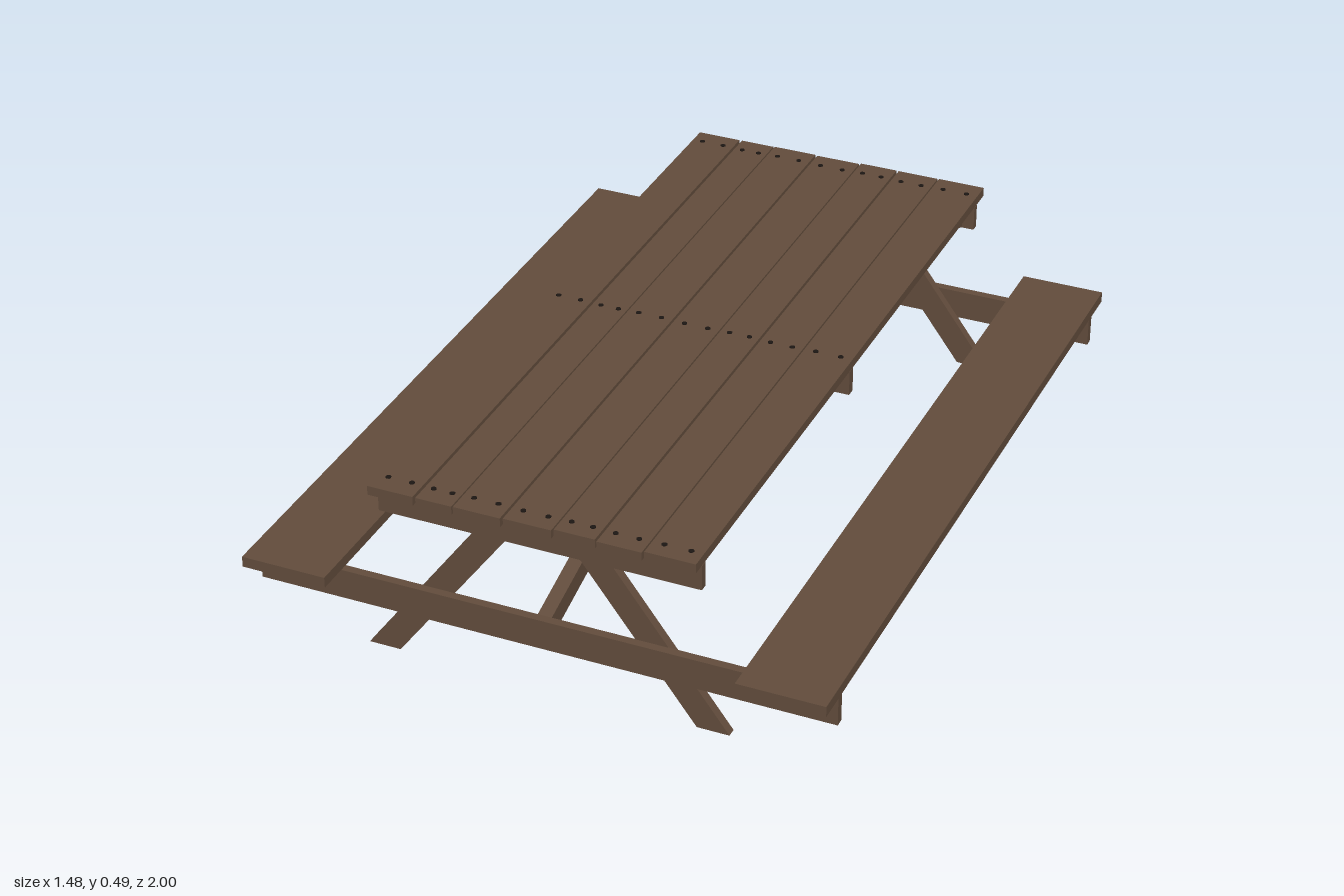
import * as THREE from 'three';

export function createModel() {
  const table = new THREE.Group();
  table.name = 'picnicTable';
  const wood = new THREE.MeshStandardMaterial({ color: 0x624c3c });
  wood.name = 'brown wood';
  const iron = new THREE.MeshStandardMaterial({ color: 0x1c1613 });
  iron.name = 'dark nail';

  function add(name, geometry, material = wood) {
    const mesh = new THREE.Mesh(geometry, material);
    mesh.name = name;
    table.add(mesh);
    return mesh;
  }
  // Box given by its low and high limits on each axis
  function beam(name, [x0, x1], [y0, y1], [z0, z1]) {
    const mesh = add(name, new THREE.BoxGeometry(x1 - x0, y1 - y0, z1 - z0));
    mesh.position.set((x0 + x1) / 2, (y0 + y1) / 2, (z0 + z1) / 2);
    return mesh;
  }
  // Flat outline extruded evenly about its own plane
  function slab(points, depth) {
    const shape = new THREE.Shape(points.map(([x, y]) => new THREE.Vector2(x, y)));
    return new THREE.ExtrudeGeometry(shape, { depth, bevelEnabled: false }).translate(0, 0, -depth / 2);
  }

  // Tabletop boards of uneven width: left edge, right edge, front end, back end
  const boards = [
    [-0.415, -0.298, 0.957, -0.968], [-0.292, -0.2, 0.955, -0.972],
    [-0.195, -0.076, 0.957, -0.97], [-0.071, 0.05, 0.952, -0.971],
    [0.055, 0.157, 0.949, -0.972], [0.162, 0.273, 0.952, -0.975],
    [0.278, 0.404, 0.949, -0.972],
  ];
  const nailGeometry = new THREE.CylinderGeometry(0.007, 0.007, 0.006, 8);
  boards.forEach(([x0, x1, front, back], i) => {
    const top = i % 2 ? 0.489 : 0.491;
    beam('tableBoard', [x0, x1], [0.467, top], [back, front]);
    // Two nails over each cleat
    for (const z of [-0.92, -0.008, 0.905]) {
      for (const t of [0.24, 0.76]) {
        add('nail', nailGeometry, iron).position.set(x0 + (x1 - x0) * t, top - 0.001, z);
      }
    }
  });

  // Centre cleat under the boards
  beam('centreCleat', [-0.41, 0.405], [0.402, 0.467], [-0.012, 0.012]);

  for (const end of [1, -1]) {
    const span = (a, b) => [Math.min(a * end, b * end), Math.max(a * end, b * end)];
    // Cleats on both sides of the leg tops
    beam('outerCleat', [-0.41, 0.405], [0.402, 0.467], span(0.898, 0.918));
    beam('innerCleat', [-0.38, 0.38], [0.42, 0.467], span(0.862, 0.875));
    // Crossbeam carrying both benches
    beam('crossbeam', [-0.738, 0.738], [0.126, 0.205], span(0.898, 0.92));

    // Slanted legs with level cuts at foot and top
    for (const side of [1, -1]) {
      const leg = [[0.466, 0], [0.12, 0.467], [0.036, 0.467], [0.384, 0]];
      add('leg', slab(leg.map(([x, y]) => [x * side, y]), 0.024)).position.z = 0.887 * end;
    }

    // Diagonal brace from the crossbeam up to the centre cleat
    const brace = add('brace', slab(
      [[0.01, 0.463], [0.01, 0.408], [0.897, 0.149], [0.897, 0.203]].map(([z, y]) => [-z * end, y]), 0.036));
    brace.rotation.y = Math.PI / 2;
  }

  for (const side of [1, -1]) {
    const span = (a, b) => [Math.min(a * side, b * side), Math.max(a * side, b * side)];
    // Bench seat with a stringer below
    beam('benchSeat', span(0.52, 0.74), [0.205, 0.233], [-1, 1]);
    beam('benchStringer', span(0.615, 0.645), [0.132, 0.205], [-0.897, 0.897]);
  }
  return table;
}
